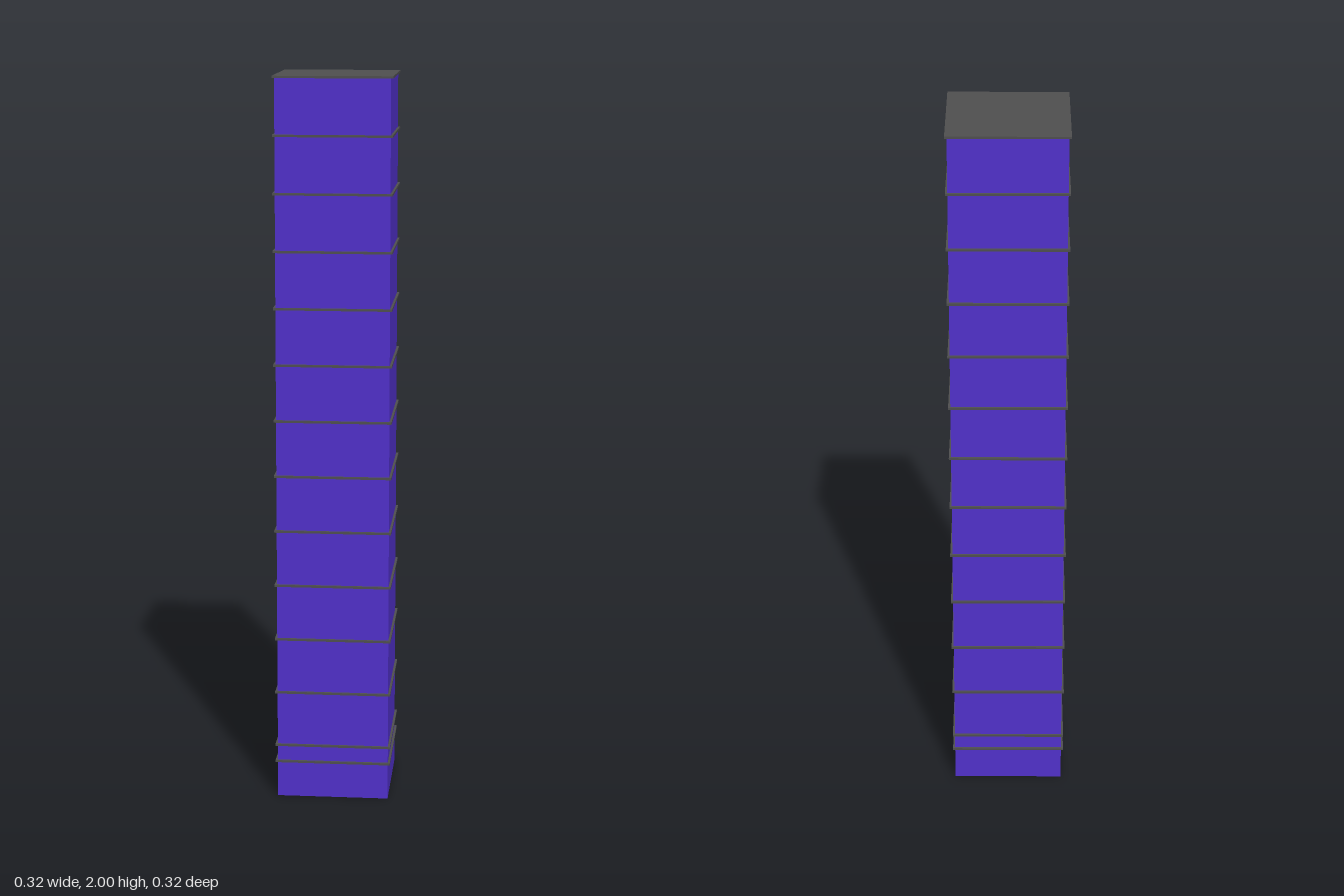
import * as THREE from 'three';

const STOREY = 2 / 13;      // floor to floor
const WALL = 0.154;         // half width of the walls
const LEDGE = 0.16;         // half width of the floor slabs
const SLAB = 0.006;         // slab thickness
const DOOR = { half: 0.03, height: 0.056, depth: 0.07 };

const purple = new THREE.MeshStandardMaterial({ color: 0x5231cc, side: THREE.DoubleSide });
const grey = new THREE.MeshStandardMaterial({ color: 0x505050, side: THREE.DoubleSide });

function add(parent, name, geometry, material, x = 0, y = 0, z = 0) {
  const mesh = new THREE.Mesh(geometry, material);
  mesh.name = name;
  mesh.position.set(x, y, z);
  parent.add(mesh);
  return mesh;
}

// Flat wall panel standing on y = 0, optionally notched for the doorway
function wallPanel(height, withDoor) {
  const s = new THREE.Shape();
  s.moveTo(-WALL, 0);
  if (withDoor) {
    s.lineTo(-DOOR.half, 0);
    s.lineTo(-DOOR.half, DOOR.height);
    s.lineTo(DOOR.half, DOOR.height);
    s.lineTo(DOOR.half, 0);
  }
  s.lineTo(WALL, 0);
  s.lineTo(WALL, height);
  s.lineTo(-WALL, height);
  return new THREE.ShapeGeometry(s);
}

// Four walls of one storey; the door goes in the -x side of the ground floor
function storeyWalls(index) {
  const storey = new THREE.Group();
  storey.name = index === 0 ? 'groundFloorWalls' : 'storeyWalls';
  storey.position.y = index * STOREY;
  ['frontWall', 'leftWall', 'backWall', 'rightWall'].forEach((name, i) => {
    const a = i * Math.PI / 2;
    const panel = add(storey, name, wallPanel(STOREY, index === 0 && i === 3), purple,
      Math.sin(a) * WALL, 0, Math.cos(a) * WALL);
    panel.rotation.y = a;
  });
  return storey;
}

// Thin square band around the ground floor, open in the middle
function bandGeometry() {
  const square = (path, h) => path.moveTo(-h, -h).lineTo(h, -h).lineTo(h, h).lineTo(-h, h).closePath();
  const shape = square(new THREE.Shape(), LEDGE);
  shape.holes.push(square(new THREE.Path(), WALL - 0.006));
  return new THREE.ExtrudeGeometry(shape, { depth: SLAB, bevelEnabled: false }).rotateX(-Math.PI / 2);
}

export function createModel() {
  const tower = new THREE.Group();
  tower.name = 'tower';

  // Storeys, each capped by a slightly wider slab
  const slab = new THREE.BoxGeometry(2 * LEDGE, SLAB, 2 * LEDGE);
  for (let i = 0; i < 13; i++) {
    tower.add(storeyWalls(i));
    add(tower, i === 12 ? 'roofSlab' : 'floorSlab', slab, grey, 0, (i + 1) * STOREY - SLAB / 2, 0);
  }

  // Extra band above the entrance
  add(tower, 'entranceBand', bandGeometry(), grey, 0, 0.1, 0);

  // Doorway passage running inwards from the right wall
  const doorway = new THREE.Group();
  doorway.name = 'doorway';
  const mid = -WALL + DOOR.depth / 2;
  for (const side of [-1, 1]) {
    add(doorway, 'doorJamb', new THREE.PlaneGeometry(DOOR.depth, DOOR.height), grey,
      mid, DOOR.height / 2, side * DOOR.half);
  }
  add(doorway, 'doorLintel', new THREE.PlaneGeometry(DOOR.depth, 2 * DOOR.half).rotateX(Math.PI / 2), grey,
    mid, DOOR.height, 0);
  tower.add(doorway);

  return tower;
}
